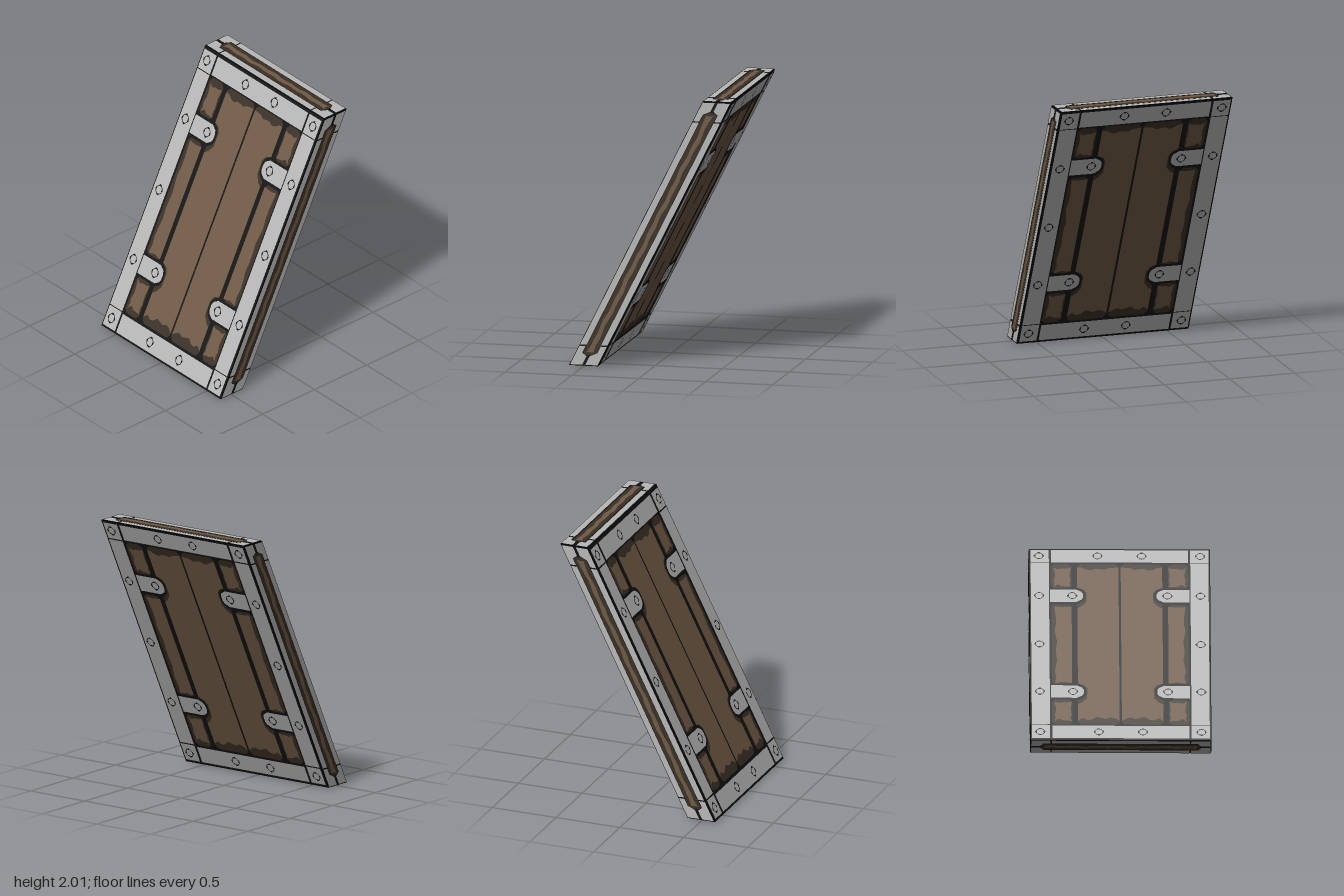
import * as THREE from 'three';

const W = 0.66, H = 1, D = 0.11, LEAN = 0.5; // half sizes and backward lean
const mat = (name, color) => {
  const m = new THREE.MeshStandardMaterial({ color });
  m.name = name;
  return m;
};

// Each face turns a flat drawing (u, v) raised by o into a point on the leaning slab
const FACES = {
  front: (u, v, o) => [u, v, D + o - LEAN * (v - H)],
  back: (u, v, o) => [-u, v, -D - o - LEAN * (v - H)],
  left: (u, v, o) => [W + o, H + u, v - LEAN * u],
  right: (u, v, o) => [-W - o, H + u, -v - LEAN * u],
  top: (u, v, o) => [u, 2 * H + o, -v - LEAN],
  bottom: (u, v, o) => [u, -o, v + LEAN],
};

const rect = (x0, y0, x1, y1) => [[x0, y0], [x1, y0], [x1, y1], [x0, y1]];
const chamfer = (x0, y0, x1, y1, c) => [
  [x0 + c, y0], [x1 - c, y0], [x1, y0 + c], [x1, y1 - c],
  [x1 - c, y1], [x0 + c, y1], [x0, y1 - c], [x0, y0 + c]];
const flipX = (p) => p.map(([x, y]) => [-x, y]);
const flipY = (p) => p.map(([x, y]) => [x, -y]);
const bothX = (list) => list.flatMap((p) => [p, flipX(p)]);

// Rectangle with uneven worn edges; amplitudes are for bottom, right, top and left
function worn(x0, y0, x1, y1, amps, step = 0.035) {
  const c = rect(x0, y0, x1, y1), inward = [[0, 1], [-1, 0], [0, -1], [1, 0]], pts = [];
  c.forEach(([ax, ay], k) => {
    const [bx, by] = c[(k + 1) % 4];
    const n = amps[k] ? Math.max(2, Math.round(Math.hypot(bx - ax, by - ay) / step)) : 1;
    for (let i = 0; i < n; i++) {
      const t = i / n;
      const s = i ? amps[k] * (0.5 + 0.3 * Math.sin(i * 1.9 + k) + 0.2 * Math.sin(i * 0.8 + x0 * 9)) : 0;
      pts.push([ax + (bx - ax) * t + inward[k][0] * s, ay + (by - ay) * t + inward[k][1] * s]);
    }
  });
  return pts;
}

export function createModel() {
  const group = new THREE.Group();
  const black = mat('black outline', 0x101010);
  const metal = mat('grey metal', 0xb8b8b8);
  const wood = mat('brown wood', 0x705a46);
  const edge = mat('dark wood edge', 0x393024);

  // Slab core, sheared so its ends stay level
  const core = new THREE.BoxGeometry(2 * W - 0.006, 2 * H - 0.006, 2 * D - 0.006);
  const cp = core.attributes.position;
  for (let i = 0; i < cp.count; i++) cp.setZ(i, cp.getZ(i) - LEAN * cp.getY(i));
  core.translate(0, H, 0);
  core.computeVertexNormals();
  const slab = new THREE.Mesh(core, black);
  slab.name = 'slabCore';
  group.add(slab);

  // Lays flat outlines on a face at a given layer
  function paint(face, part, material, layer, outlines) {
    const shapes = outlines.map((p) => new THREE.Shape(p.map(([x, y]) => new THREE.Vector2(x, y))));
    const geo = new THREE.ShapeGeometry(shapes);
    const p = geo.attributes.position;
    for (let i = 0; i < p.count; i++) {
      p.setXYZ(i, ...FACES[face](p.getX(i), p.getY(i), layer * 0.0015 - 0.003));
    }
    geo.computeVertexNormals();
    const mesh = new THREE.Mesh(geo, material);
    mesh.name = face + part;
    group.add(mesh);
  }

  // Strap outline pointing inward from the left stile
  const strap = (y, h, tip) => [
    [-0.505, y - h], [tip - 0.05, y - h], [tip - 0.012, y - h * 0.65], [tip, y - h * 0.3],
    [tip, y + h * 0.3], [tip - 0.012, y + h * 0.65], [tip - 0.05, y + h], [-0.505, y + h]];
  const strapY = [0.505, 1.505];

  // Broad faces
  const rivets = [];
  const rivet = (x, y) => {
    const r = 0.029;
    for (let k = 0; k < 4; k++) {
      const a = k * Math.PI / 2, dx = Math.cos(a), dy = Math.sin(a);
      const at = (f, s) => [x + dx * f - dy * s, y + dy * f + dx * s];
      rivets.push([at(r - 0.004, -0.011), at(r + 0.008, -0.007), at(r + 0.008, 0.007), at(r - 0.004, 0.011)]);
      rivets.push([at(r, 0.009), at(r + 0.004, 0.012), at(0.012, r + 0.004), at(0.009, r)]);
    }
  };
  for (const s of [-1, 1]) {
    for (const y of [0.085, 0.505, 1, 1.505, 1.92]) rivet(s * 0.585, y);
    for (const y of [0.085, 1.92]) rivet(s * 0.16, y);
    for (const y of strapY) rivet(s * 0.345, y);
  }
  for (const f of ['front', 'back']) {
    paint(f, 'BoardEdges', edge, 1, bothX([
      chamfer(-0.309, 0.165, -0.008, 1.84, 0.025),
      chamfer(-0.498, 1.585, -0.35, 1.84, 0.025),
      chamfer(-0.498, 0.585, -0.35, 1.415, 0.025),
      chamfer(-0.498, 0.165, -0.35, 0.425, 0.025)]));
    paint(f, 'Boards', wood, 2, bothX([
      worn(-0.309, 0.205, -0.008, 1.805, [0.045, 0, 0.035, 0]),
      worn(-0.48, 1.6, -0.355, 1.8, [0.03, 0.015, 0.03, 0.02]),
      worn(-0.475, 0.595, -0.35, 1.395, [0.015, 0, 0.02, 0.02], 0.06),
      worn(-0.48, 0.2, -0.355, 0.405, [0.03, 0.015, 0.03, 0.02])]));
    paint(f, 'StrapShadows', edge, 3, bothX(strapY.map((y) => [
      [-0.309, y - 0.13], [-0.275, y - 0.105], [-0.243, y - 0.065],
      [-0.24, y + 0.03], [-0.265, y + 0.07], [-0.309, y + 0.085]])));
    paint(f, 'StrapOutlines', black, 4, bothX(strapY.map((y) => strap(y, 0.083, -0.25))));
    paint(f, 'Straps', metal, 5, bothX(strapY.map((y) => strap(y, 0.065, -0.267))));
    paint(f, 'Frame', metal, 5, [
      rect(-0.497, 0.02, 0.497, 0.15), rect(-0.497, 1.853, 0.497, 1.982),
      ...bothX([rect(-0.645, 0.02, -0.513, 0.157), rect(-0.645, 0.163, -0.513, 1.843),
        rect(-0.645, 1.849, -0.513, 1.982)])]);
    paint(f, 'Rivets', black, 6, rivets);
  }

  // Narrow faces: metal rims around a wooden core strip
  for (const [f, L] of [['left', H], ['right', H], ['top', W], ['bottom', W]]) {
    const block = [[L - 0.15, 0.056], [L - 0.1, 0.056], [L - 0.075, 0.012],
      [L - 0.01, 0.012], [L - 0.01, 0.102], [L - 0.15, 0.102]];
    const rim = rect(-L + 0.16, 0.054, L - 0.16, 0.102);
    const half = [...bothX([block]), rim];
    paint(f, 'Rim', metal, 3, [...half, ...half.map(flipY)]);
    paint(f, 'CoreEdge', edge, 3, [chamfer(-L + 0.085, -0.05, L - 0.085, 0.05, 0.02)]);
    paint(f, 'CoreWood', wood, 4, [worn(-L + 0.105, -0.026, L - 0.105, 0.026, [0.016, 0.01, 0.016, 0.01], 0.05)]);
  }
  return group;
}
